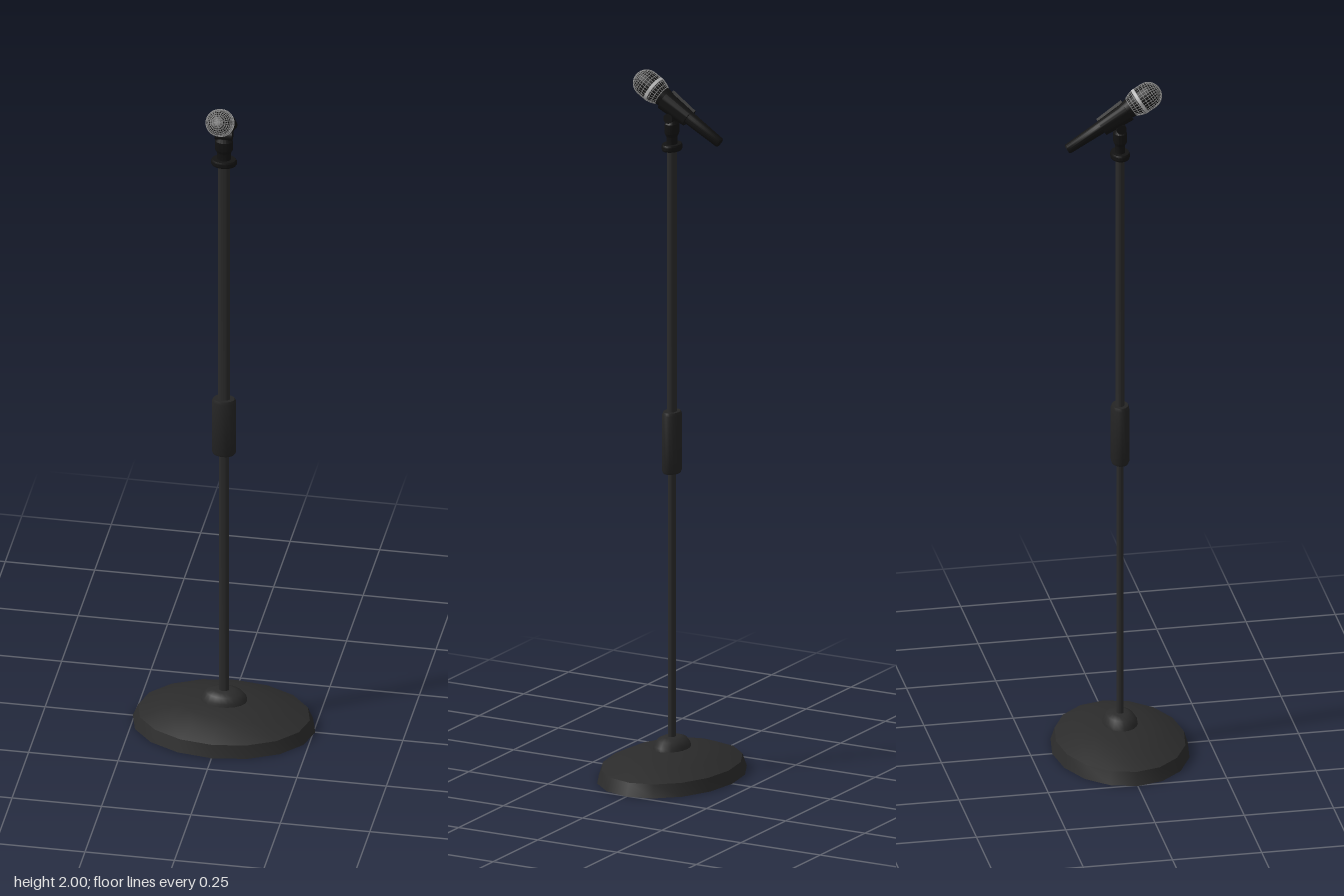
import * as THREE from 'three';
import { toCreasedNormals } from 'three/addons/utils/BufferGeometryUtils.js';

const mat = (color) => new THREE.MeshStandardMaterial({ color });
const metal = mat(0x2b2b2b);
const rubber = mat(0x242424);
const black = mat(0x131313);
const wire = mat(0x8c8c8c);
const silver = mat(0xb8b8b8);

function add(parent, name, geometry, material) {
  const mesh = new THREE.Mesh(geometry, material);
  mesh.name = name;
  parent.add(mesh);
  return mesh;
}

// Turned part from [radius, height] pairs, listed bottom to top
function turned(parent, name, profile, sides, material) {
  const points = profile.map(([r, y]) => new THREE.Vector2(r, y));
  return add(parent, name, toCreasedNormals(new THREE.LatheGeometry(points, sides), 0.6), material);
}

function buildStand() {
  const stand = new THREE.Group();
  stand.name = 'stand';
  stand.scale.z = 0.745; // the stand is oval in plan

  turned(stand, 'base', [[0, 0], [0.255, 0], [0.24, 0.036], [0.18, 0.058], [0.12, 0.072], [0.06, 0.08], [0, 0.082]], 16, metal);
  turned(stand, 'baseHub', [[0.066, 0.074], [0.063, 0.088], [0.05, 0.103], [0.03, 0.11], [0, 0.11]], 20, metal);
  turned(stand, 'lowerPole', [[0.0135, 0.09], [0.0135, 0.9]], 16, metal);
  turned(stand, 'upperPole', [[0.017, 1.0], [0.017, 1.8], [0, 1.8]], 16, metal);
  turned(stand, 'heightGrip', [[0.013, 0.864], [0.03, 0.864], [0.034, 0.872], [0.034, 1.03], [0.03, 1.039], [0.016, 1.039]], 16, rubber);
  turned(stand, 'topFlange', [[0.016, 1.786], [0.033, 1.786], [0.036, 1.791], [0.036, 1.799], [0.033, 1.804], [0, 1.804]], 20, black);
  turned(stand, 'clipStem', [[0.019, 1.8], [0.019, 1.825], [0.025, 1.835], [0.025, 1.862], [0.018, 1.872], [0.018, 1.893], [0, 1.893]], 16, black);
  return stand;
}

function buildMicrophone() {
  // Built along +y from the tail, with local -z becoming the upper side
  const mic = new THREE.Group();
  mic.name = 'microphone';

  turned(mic, 'handle', [[0, 0], [0.012, 0], [0.0145, 0.004], [0.018, 0.1], [0.0215, 0.18], [0.027, 0.205], [0.028, 0.214], [0, 0.214]], 20, black);

  // Grille outline: cone, short cylinder, then a dome
  const outline = [[0.028, 0.212], [0.0325, 0.222], [0.036, 0.233], [0.037, 0.245], [0.037, 0.257]];
  const R = 0.037, dome = 0.268;
  for (let i = 0; i <= 7; i++) {
    const a = (i / 8) * Math.PI / 2;
    outline.push([R * Math.cos(a), dome + R * Math.sin(a)]);
  }
  const core = outline.map(([r, y]) => [r * 0.965, y]);
  turned(mic, 'grilleCore', [...core, [0, dome + R * 0.965]], 24, black);

  // Wire mesh: rings and lengthwise wires
  const grille = new THREE.Group();
  grille.name = 'grilleWires';
  mic.add(grille);
  for (const [r, y] of outline) {
    const ring = add(grille, 'ringWire', new THREE.TorusGeometry(r, 0.0011, 4, 32), wire);
    ring.rotation.x = Math.PI / 2;
    ring.position.y = y;
  }
  const path = new THREE.CatmullRomCurve3([...outline, [0, dome + R]].map(([r, y]) => new THREE.Vector3(r, y, 0)));
  const strand = new THREE.TubeGeometry(path, 24, 0.001, 4);
  const count = 28;
  for (let i = 0; i < count; i++) {
    add(grille, 'lengthWire', strand, wire).rotation.y = (i / count) * Math.PI * 2;
  }
  turned(mic, 'grilleBand', [[0.036, 0.236], [0.0385, 0.237], [0.0385, 0.245], [0.036, 0.246]], 32, silver);

  // Clip: an open sleeve cradling the handle
  const open = 0.85, inner = 0.0205, outer = 0.028;
  const shape = new THREE.Shape();
  shape.absarc(0, 0, outer, open, Math.PI - open, true);
  shape.absarc(0, 0, inner, Math.PI - open, open, false);
  shape.closePath();
  const sleeve = new THREE.ExtrudeGeometry(shape, { depth: 0.085, bevelEnabled: false, curveSegments: 20 });
  sleeve.rotateX(-Math.PI / 2);
  const p = sleeve.attributes.position;
  for (let i = 0; i < p.count; i++) { // widen towards the head
    const k = 0.95 + 2.6 * p.getY(i);
    p.setX(i, p.getX(i) * k);
    p.setZ(i, p.getZ(i) * k);
  }
  add(mic, 'clipSleeve', toCreasedNormals(sleeve, 0.6), black).position.y = 0.113;

  mic.position.set(-0.004, 1.825, -0.149);
  mic.rotation.set(1.02, 0, -0.02);
  return mic;
}

export function createModel() {
  const model = new THREE.Group();
  model.name = 'microphoneOnStand';
  model.add(buildStand(), buildMicrophone());

  // Hinge joining the stem to the clip
  const hinge = add(model, 'clipHinge', new THREE.CylinderGeometry(0.014, 0.014, 0.048, 16), black);
  hinge.rotation.z = Math.PI / 2;
  hinge.position.set(0, 1.88, 0);
  return model;
}
